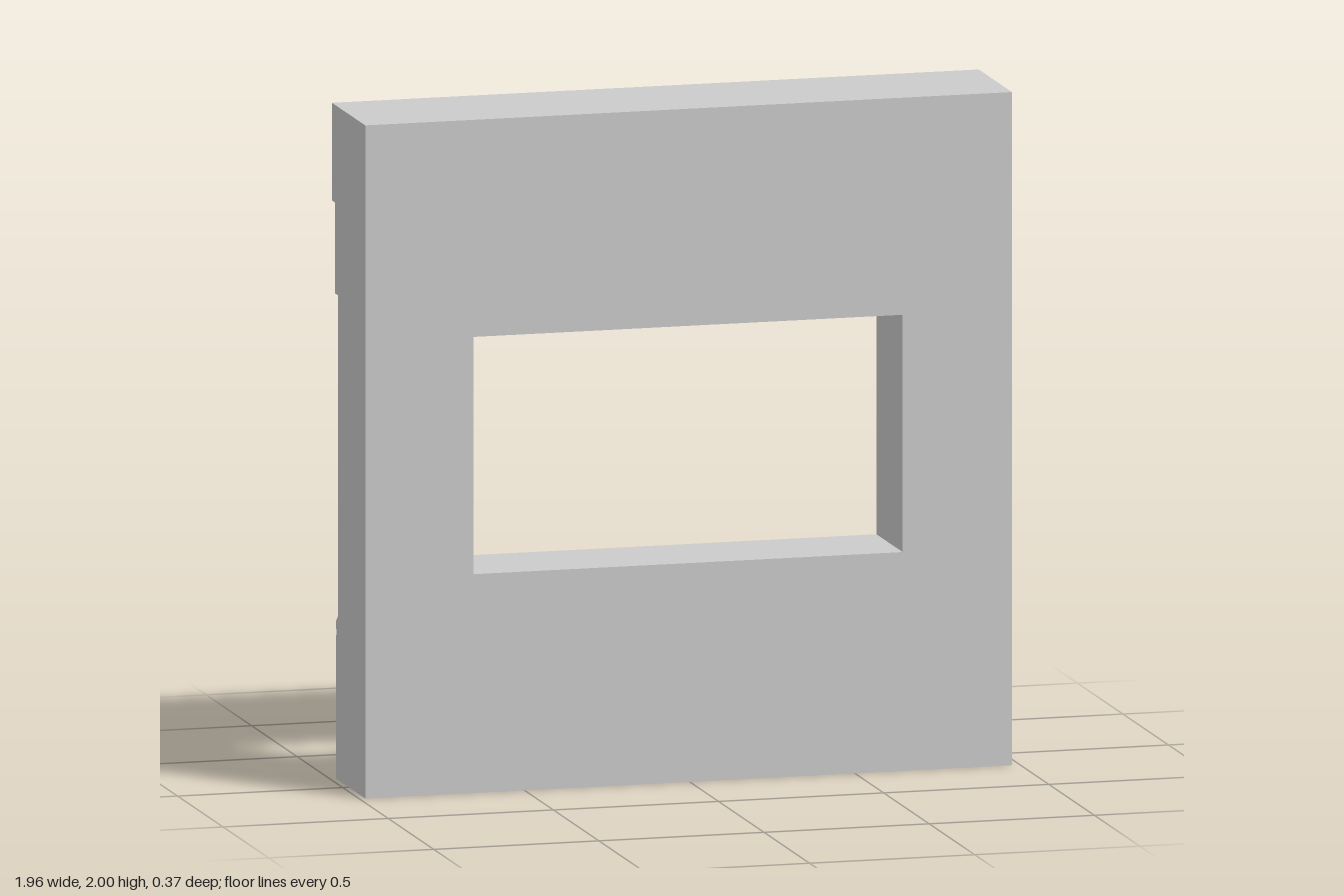
import * as THREE from 'three';

const material = new THREE.MeshStandardMaterial({ color: 0xcccccc, flatShading: true });

// Wall and trim extents
const X0 = -0.982, X1 = 0.976, FRONT = 0.183, BACK = -0.105;
const OPENING = [-0.655, 0.645, 0.65, 1.355];

function add(parent, geometry, name) {
  const mesh = new THREE.Mesh(geometry, material);
  mesh.name = name;
  parent.add(mesh);
}

function polygon(points) {
  return new THREE.Shape(points.map(([x, y]) => new THREE.Vector2(x, y)));
}

const rect = (x0, x1, y0, y1) => polygon([[x0, y0], [x1, y0], [x1, y1], [x0, y1]]);

const extrude = (shape, depth) =>
  new THREE.ExtrudeGeometry(shape, { depth, bevelEnabled: false });

function box(x0, x1, y0, y1, z0, z1) {
  return new THREE.BoxGeometry(x1 - x0, y1 - y0, z1 - z0)
    .translate((x0 + x1) / 2, (y0 + y1) / 2, (z0 + z1) / 2);
}

// One slice of the wall, pierced by rectangular holes
function wallLayer(z0, z1, holes) {
  const shape = rect(X0, X1, 0, 2);
  holes.forEach((h) => shape.holes.push(rect(...h)));
  return extrude(shape, z1 - z0).translate(0, 0, z0);
}

// Plinth: side profile as [distance out, height], swept across its width
function plinth(x0, x1) {
  const profile = polygon([
    [0.1, 0], [0.14, 0], [0.14, 0.42], [0.134, 0.432], [0.134, 0.442],
    [0.14, 0.452], [0.138, 0.468], [0.105, 0.5], [0.1, 0.5],
  ]);
  return extrude(profile, x1 - x0).rotateY(Math.PI / 2).translate(x0, 0, 0);
}

// Fluted shaft: three ridges with sloping sides, swept upward
function shaft(x0, x1) {
  const ridges = 3, pitch = (x1 - x0) / ridges;
  const points = [[x1, 0.1], [x0, 0.1]];
  for (let i = 0; i < ridges; i++) {
    const a = x0 + i * pitch, b = a + pitch;
    const left = i === 0 ? 0 : 0.008, right = i === ridges - 1 ? 0 : 0.008;
    if (left) points.push([a + left, 0.108]);
    points.push([a + left * 2, 0.13], [b - right * 2, 0.13]);
    if (right) points.push([b - right, 0.108]);
  }
  return extrude(polygon(points), 0.99).rotateX(-Math.PI / 2).translate(0, 0.45, 0);
}

export function createModel() {
  const model = new THREE.Group();
  model.name = 'panelledWall';

  // Wall with window opening and a stepped recessed panel on the back
  const wall = new THREE.Group();
  wall.name = 'wall';
  add(wall, wallLayer(-0.03, FRONT, [OPENING]), 'wallCore');
  add(wall, wallLayer(-0.06, -0.03, [OPENING, [-0.605, 0.59, 0.173, 0.475]]), 'innerPanelFrame');
  add(wall, wallLayer(BACK, -0.06, [OPENING, [-0.66, 0.645, 0.118, 0.53]]), 'outerPanelFrame');
  model.add(wall);

  // Frieze and cornice across the top
  add(model, box(X0, X1, 1.44, 1.71, -0.15, BACK), 'frieze');
  add(model, box(X0, X1, 1.71, 2, -0.183, BACK), 'cornice');

  // Fluted pilasters on plinths at both ends
  for (const [name, x0, x1] of [['left', 0.79, 0.982], ['right', -0.982, -0.79]]) {
    const pilaster = new THREE.Group();
    pilaster.name = name + 'Pilaster';
    add(pilaster, plinth(x0, x1), 'plinth');
    add(pilaster, shaft(x0 + 0.003, x1 - 0.003), 'flutedShaft');
    model.add(pilaster);
  }
  return model;
}
